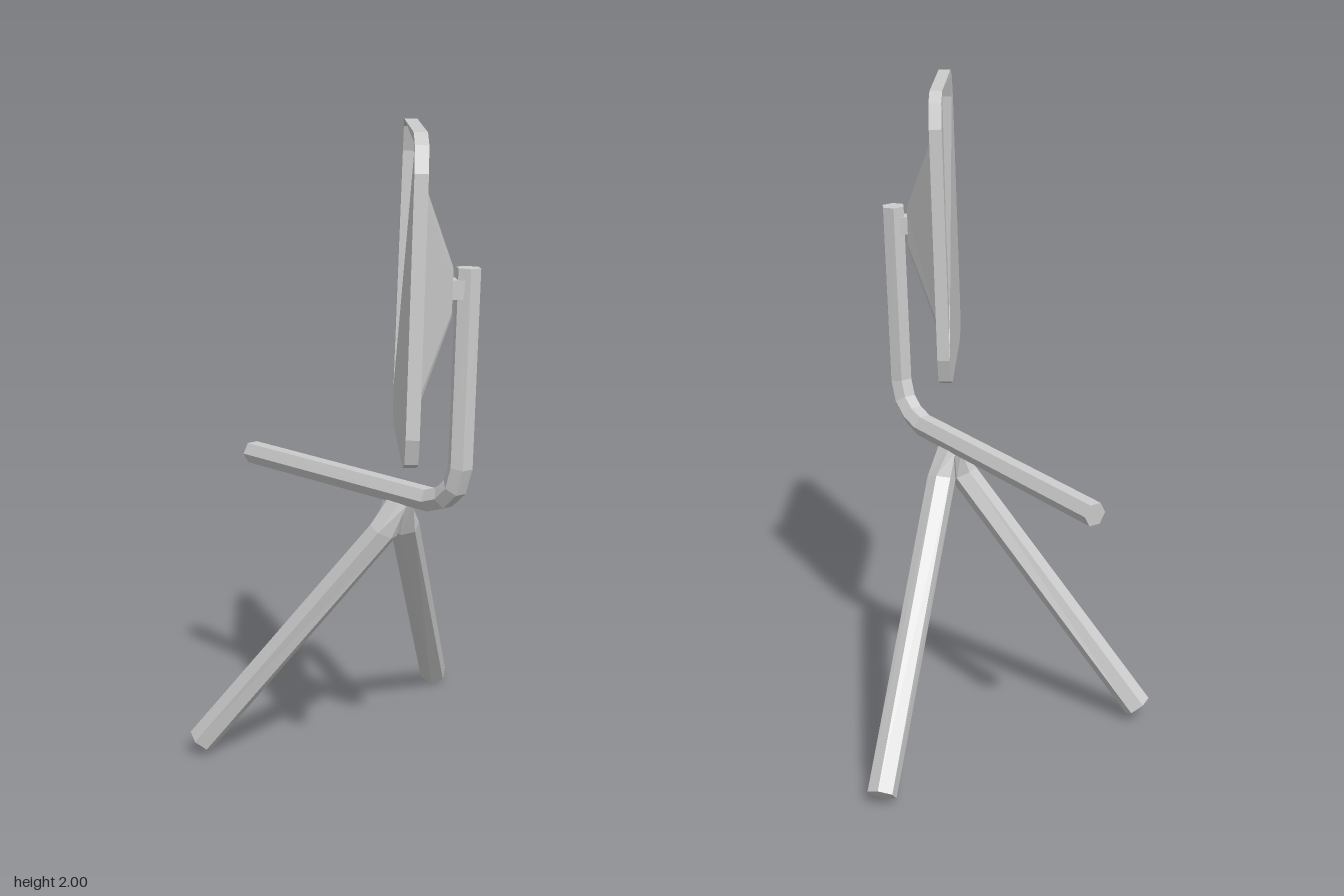
import * as THREE from 'three';

const V = (x, y, z) => new THREE.Vector3(x, y, z);
const grey = new THREE.MeshStandardMaterial({ color: 0xcccccc, flatShading: true });
const greyOpen = new THREE.MeshStandardMaterial({ color: 0xcccccc, flatShading: true, side: THREE.DoubleSide });

// Collects flat polygons as triangle fans
function polygons(list) {
  const pos = [];
  for (const poly of list)
    for (let i = 1; i < poly.length - 1; i++)
      for (const p of [poly[0], poly[i], poly[i + 1]]) pos.push(p.x, p.y, p.z);
  const g = new THREE.BufferGeometry();
  g.setAttribute('position', new THREE.Float32BufferAttribute(pos, 3));
  g.computeVertexNormals();
  return g;
}

// Side faces joining consecutive rings of equal point count
function skin(rings) {
  const faces = [];
  for (let r = 0; r < rings.length - 1; r++) {
    const a = rings[r], b = rings[r + 1], n = a.length;
    for (let i = 0; i < n; i++) {
      const j = (i + 1) % n;
      faces.push([a[i], a[j], b[j], b[i]]);
    }
  }
  return faces;
}

function solid(rings) {
  return polygons([...skin(rings), [...rings[0]].reverse(), rings[rings.length - 1]]);
}

// Hexagonal ring around centre c, facing direction d, one corner toward hint
function hexRing(c, d, hint, rp, rq = rp) {
  const dir = d.clone().normalize();
  const p = hint.clone().addScaledVector(dir, -hint.dot(dir)).normalize();
  const q = dir.clone().cross(p);
  return Array.from({ length: 6 }, (_, i) => {
    const t = i * Math.PI / 3;
    return c.clone().addScaledVector(p, rp * Math.cos(t)).addScaledVector(q, rq * Math.sin(t));
  });
}

function add(group, name, geometry, material = grey) {
  const mesh = new THREE.Mesh(geometry, material);
  mesh.name = name;
  group.add(mesh);
  return mesh;
}

export function createModel() {
  const model = new THREE.Group();
  model.name = 'mirrorOnBracket';

  // Bent support arm
  const path = [
    V(-0.037, 1.605, 0.408), V(-0.062, 1.03, 0.41), V(-0.065, 0.965, 0.39),
    V(-0.067, 0.925, 0.345), V(-0.068, 0.904, 0.285), V(-0.096, 0.876, -0.583),
  ];
  const armRings = path.map((c, i) => {
    const d = V(0, 0, 0);
    if (i > 0) d.add(c.clone().sub(path[i - 1]).normalize());
    if (i < path.length - 1) d.add(path[i + 1].clone().sub(c).normalize());
    return hexRing(c, d, V(1, 0, 0), 0.0375);
  });
  add(model, 'arm', solid(armRings));

  // Two struts, pinched flat where they meet the arm
  const struts = [
    ['leftStrut', V(-0.062, 0.87, 0.145), V(-0.03, 0.78, 0.122), V(0.483, 0.03, -0.338)],
    ['rightStrut', V(-0.086, 0.87, 0.145), V(-0.115, 0.78, 0.125), V(-0.483, 0.045, -0.338)],
  ];
  for (const [name, top, knee, foot] of struts) {
    const d = foot.clone().sub(knee).normalize();
    const bend = d.clone().add(V(0, -0.5, 0));
    add(model, name, solid([
      hexRing(top, V(0, -1, 0), V(0, 0, 1), 0.055, 0.012),
      hexRing(knee, bend, V(0, 0, 1), 0.045),
      hexRing(foot, d, V(0, 0, 1), 0.045),
    ]));
  }

  // Mirror head frame: u across, v up, n toward the domed side
  const C = V(-0.157, 1.546, 0.325);
  const u = V(0.595, 0, -0.804), v = V(0.04, 1, 0), n = V(0.804, -0.03, 0.595);
  const at = (a, b, c) => C.clone().addScaledVector(u, a).addScaledVector(v, b).addScaledVector(n, c);

  // Rectangle with each corner cut by three points
  function ring(w, h, cx, cy, depth, dy = 0) {
    const pts = [];
    for (const [sx, sy, flip] of [[1, 1, 0], [-1, 1, 1], [-1, -1, 0], [1, -1, 1]]) {
      const corner = [[w, h - cy], [w - cx * 0.25, h - cy * 0.27], [w - cx, h]];
      if (flip) corner.reverse();
      for (const [a, b] of corner) {
        const taper = 1 - 0.025 * sy * b / h;
        pts.push(at(sx * a * taper, sy * b + dy, depth));
      }
    }
    return pts;
  }

  // Hollow housing: rim edge, flange and dome
  const back = ring(0.32, 0.454, 0.09, 0.1, -0.038);
  const shell = [
    back,
    ring(0.32, 0.454, 0.09, 0.1, 0),
    ring(0.213, 0.31, 0.035, 0.035, 0, 0.005),
    ring(0.085, 0.072, 0.02, 0.02, 0.094, 0.004),
  ];
  const head = new THREE.Group();
  head.name = 'mirrorHead';
  model.add(head);
  add(head, 'housing', polygons([...skin(shell), shell[3]]), greyOpen);

  // Reflecting plate, with its open triangular gap
  const pick = (...ids) => ids.map(i => back[i]).reverse();
  add(head, 'plate', polygons([
    pick(11, 0, 1, 2), pick(2, 3, 4), pick(4, 5, 6, 7, 8, 9, 10, 11),
  ]), greyOpen);

  // Square peg joining dome and arm
  const peg = add(head, 'peg', new THREE.BoxGeometry(0.055, 0.055, 0.09));
  peg.position.copy(at(0, 0.003, 0.108));
  peg.rotation.y = Math.atan2(0.804, 0.595);

  return model;
}
